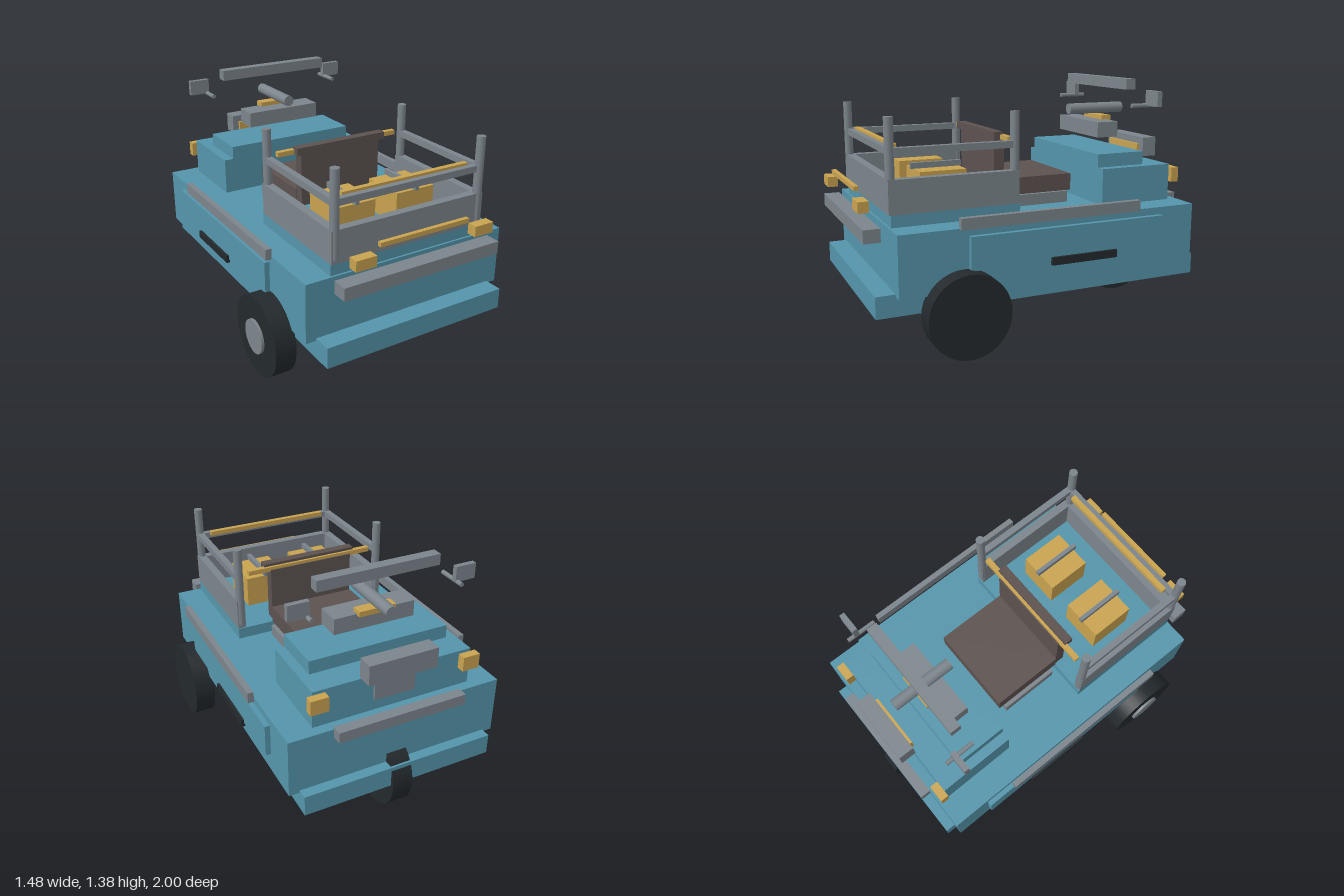
import * as THREE from 'three';

const mat = (color) => new THREE.MeshStandardMaterial({ color });

export function createModel() {
  const car = new THREE.Group();
  car.name = 'threeWheeler';
  const CX = 0.005; // the hubs all stick out on one side, so the body sits slightly off centre
  const teal = mat(0x5595ab), grey = mat(0x7c858c), yellow = mat(0xc9a350);
  const brown = mat(0x5c5250), black = mat(0x23292d);

  const add = (name, geometry, material, x, y, z) => {
    const mesh = new THREE.Mesh(geometry, material);
    mesh.name = name;
    mesh.position.set(x + CX, y, z);
    car.add(mesh);
    return mesh;
  };
  // Box from its ranges on each axis
  const box = (name, m, [x0, x1], [y0, y1], [z0, z1]) =>
    add(name, new THREE.BoxGeometry(x1 - x0, y1 - y0, z1 - z0), m,
      (x0 + x1) / 2, (y0 + y1) / 2, (z0 + z1) / 2);
  // Box centred on the body, given its half width
  const mid = (name, m, w, y, z) => box(name, m, [-w, w], y, z);
  // Mirrored pair of boxes
  const pair = (name, m, [x0, x1], y, z) => {
    box(name + 'Left', m, [x0, x1], y, z);
    box(name + 'Right', m, [-x1, -x0], y, z);
  };
  const rod = (name, m, r, len, axis, x, y, z, sides = 24) => {
    const g = new THREE.CylinderGeometry(r, r, len, sides);
    if (axis === 'x') g.rotateZ(Math.PI / 2);
    if (axis === 'z') g.rotateX(Math.PI / 2);
    return add(name, g, m, x, y, z);
  };

  // Body
  mid('chassis', teal, 0.568, [0.235, 0.355], [-0.973, 0.962]);
  mid('body', teal, 0.628, [0.341, 0.677], [-0.914, 0.855]);
  mid('cargoFloor', teal, 0.478, [0.677, 0.742], [0.12, 0.843]);
  mid('rearCowl', teal, 0.467, [0.677, 0.89], [-0.855, -0.404]);
  mid('cowlTop', teal, 0.412, [0.89, 0.967], [-0.705, -0.402]);
  pair('doorPanel', teal, [0.62, 0.657], [0.452, 0.635], [-0.692, 0.477]);
  pair('doorHandle', black, [0.65, 0.672], [0.43, 0.474], [-0.383, 0.017]);
  pair('sideRail', grey, [0.644, 0.678], [0.68, 0.741], [-0.523, 0.537]);

  // Wheels, each with a hub on the same side
  [['frontLeft', 0.67, 0.508], ['frontRight', -0.676, 0.508], ['rear', 0, -0.768]].forEach(([n, x, z]) => {
    rod(n + 'Wheel', black, 0.229, 0.12, 'x', x, 0.232, z, 36);
    rod(n + 'Hub', grey, 0.098, 0.03, 'x', x - 0.061, 0.232, z);
  });

  // Open cargo basket: walls, posts and rails
  pair('basketSide', grey, [0.43, 0.478], [0.742, 0.925], [0.126, 0.853]);
  mid('basketFront', grey, 0.478, [0.742, 0.925], [0.805, 0.853]);
  for (const s of [1, -1]) {
    for (const z of [0.836, 0.142]) rod('basketPost', grey, 0.025, 0.48, 'y', s * 0.453, 1.003, z, 16);
    box('basketSideRail', grey, [s * 0.453 - 0.019, s * 0.453 + 0.019], [1.048, 1.085], [0.142, 0.836]);
  }
  mid('basketFrontRail', grey, 0.44, [1.046, 1.083], [0.81, 0.845]);
  mid('frontTrimRail', yellow, 0.394, [1.07, 1.097], [0.78, 0.811]);
  mid('rearTrimRail', yellow, 0.394, [1.07, 1.097], [0.127, 0.158]);

  // Crates with carrying bars
  for (const x of [-0.194, 0.194]) {
    box('crate', yellow, [x - 0.124, x + 0.124], [0.742, 0.925], [0.37, 0.633]);
    box('crateHandle', grey, [x - 0.012, x + 0.012], [0.925, 0.957], [0.358, 0.65]);
  }

  // Seat
  mid('seatBase', grey, 0.285, [0.677, 0.742], [-0.275, 0.08]);
  mid('seat', brown, 0.262, [0.742, 0.84], [-0.307, 0.122]);
  mid('backrest', brown, 0.26, [0.76, 1.08], [0.12, 0.18]);
  mid('backrestCap', brown, 0.291, [1.07, 1.113], [0.142, 0.195]);

  // Front bumper and lamps
  mid('frontBumper', grey, 0.491, [0.612, 0.685], [0.902, 0.993]);
  pair('headlamp', yellow, [0.311, 0.432], [0.757, 0.817], [0.942, 1.0]);
  mid('lightStrip', yellow, 0.278, [0.843, 0.868], [0.957, 0.982]);

  // Steering console, mirrors and upper bar
  mid('console', grey, 0.238, [1.037, 1.128], [-0.637, -0.5]);
  mid('gauge', yellow, 0.107, [1.123, 1.153], [-0.667, -0.603]);
  rod('steeringColumn', grey, 0.033, 0.37, 'z', 0, 1.19, -0.615);
  mid('upperBar', grey, 0.354, [1.325, 1.387], [-0.677, -0.616]);
  for (const s of [1, -1]) {
    rod('mirrorArm', grey, 0.0125, 0.172, 'z', s * 0.429, 1.238, -0.692, 12);
    box('mirror', grey, [s * 0.477 - 0.06, s * 0.477 + 0.06], [1.237, 1.324], [-0.738, -0.708]);
  }

  // Rear box, plate, lamps and bumper
  mid('rearBox', grey, 0.2, [0.897, 1.013], [-0.942, -0.85]);
  mid('rearLightStrip', yellow, 0.16, [0.89, 0.972], [-0.86, -0.833]);
  mid('rearPlate', grey, 0.12, [0.742, 0.89], [-0.868, -0.85]);
  pair('tailLamp', yellow, [0.396, 0.497], [0.787, 0.872], [-0.902, -0.855]);
  mid('rearBumper', grey, 0.376, [0.63, 0.692], [-0.973, -0.911]);

  return car;
}
